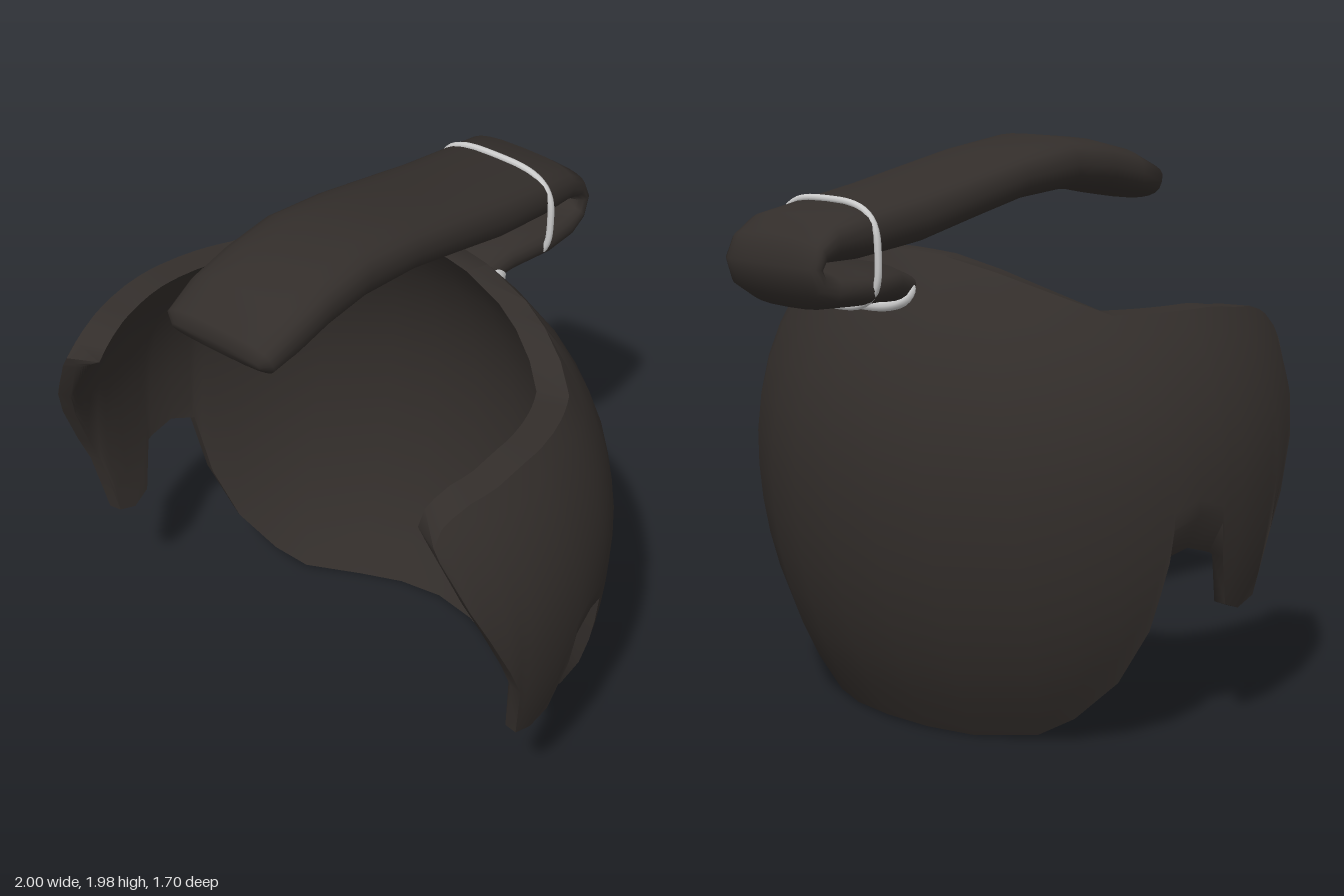
import * as THREE from 'three';
import { toCreasedNormals } from 'three/addons/utils/BufferGeometryUtils.js';

const hairMat = new THREE.MeshStandardMaterial({ color: 0x332e2b, side: THREE.DoubleSide });
const bandMat = new THREE.MeshStandardMaterial({ color: 0xcccccc });
const { lerp, degToRad } = THREE.MathUtils;

// Skin a list of closed rings of Vector3 and close both ends with fans.
function loft(rings, crease) {
  const n = rings[0].length, last = rings.length - 1;
  const points = rings.flat(), index = [];
  for (let i = 0; i < last; i++) {
    for (let j = 0; j < n; j++) {
      const a = i * n + j, d = i * n + (j + 1) % n;
      index.push(a, a + n, d + n, a, d + n, d);
    }
  }
  for (const i of [0, last]) {
    const centre = new THREE.Vector3();
    rings[i].forEach(p => centre.addScaledVector(p, 1 / n));
    const c = points.push(centre) - 1;
    for (let j = 0; j < n; j++) {
      const a = i * n + j, b = i * n + (j + 1) % n;
      index.push(c, ...(i === 0 ? [a, b] : [b, a]));
    }
  }
  const geo = new THREE.BufferGeometry().setFromPoints(points);
  geo.setIndex(index);
  return toCreasedNormals(geo, crease);
}

// Rounded-box ring through an outer and an inner point of the side profile.
function section([oz, oy, iz, iy, halfWidth = 0.23], sides = 24, power = 2.8) {
  const bend = v => Math.sign(v) * Math.abs(v) ** (2 / power);
  return Array.from({ length: sides }, (_, k) => {
    const a = (k / sides) * Math.PI * 2;
    const c = bend(Math.cos(a)), s = bend(Math.sin(a));
    return new THREE.Vector3(c * halfWidth,
      (oy + iy) / 2 + s * (oy - iy) / 2, (oz + iz) / 2 + s * (oz - iz) / 2);
  });
}

// Cap of hair: an ellipsoid shell cut between a lower and an upper rim.
function capGeometry() {
  // Per column: lower angle, lower y, upper angle, upper y, inner drop of the rim
  const half = [
    [0, 0.01, 0, 1.63], [14, 0.005, 9, 1.627], [28, 0, 18, 1.62], [46, 0.02, 34, 1.58],
    [55, 0.09, 43, 1.545], [64, 0.23, 53, 1.5], [69, 0.42, 62, 1.455], [70.3, 0.55, 66, 1.455],
    [71.5, 0.66, 69, 1.455], [72, 0.77, 72, 1.455, 0.11], [77.7, 0.81, 77, 1.455, 0.12],
    [83.9, 0.77, 83, 1.455, 0.11], [85, 0.65, 86, 1.455], [88.7, 0.47, 90, 1.455],
    [93.9, 0.44, 95, 1.45], [99, 0.47, 100, 1.44], [101, 0.7, 104, 1.435],
    [104.2, 0.82, 108, 1.43], [109.4, 1.0, 113, 1.41], [113, 1.12, 116, 1.39],
    [117.7, 1.3, 118.5, 1.345],
  ];
  const mirrored = half.slice(1).map(([b, by, t, ty, drop]) => [-b, by, -t, ty, drop]);
  const columns = [...half.slice().reverse(), ...mirrored];
  const rows = 12;
  const rings = columns.map(([b, by, t, ty, drop = 0]) => {
    const at = (f, inner) => {
      const y = lerp(inner ? by - drop : by, ty, f);
      const angle = degToRad(lerp(b, t, f));
      const r = Math.sqrt(1 - ((y - 0.9) / (y > 0.9 ? 0.985 : 1.3)) ** 2);
      const k = inner ? lerp(0.95, 0.87, f) : 1;
      return new THREE.Vector3(r * k * Math.sin(angle), y, 0.35 - 0.94 * r * k * Math.cos(angle));
    };
    const ring = [];
    for (let j = 0; j <= rows; j++) ring.push(at(j / rows, false));
    for (let j = rows; j >= 0; j--) ring.push(at(j / rows, true));
    return ring;
  });
  return loft(rings, 0.9);
}

// Thin band following a section ring.
function bandGeometry(profile, radius, power) {
  const curve = new THREE.CatmullRomCurve3(section(profile, 24, power), true);
  return new THREE.TubeGeometry(curve, 64, radius, 8, true);
}

export function createModel() {
  const model = new THREE.Group();
  const add = (name, geometry, material) => {
    const mesh = new THREE.Mesh(geometry, material);
    mesh.name = name;
    model.add(mesh);
  };

  add('hairCap', capGeometry(), hairMat);

  // Folded tail: outer z, y, inner z, y, half width, from the front tip to the root
  const tail = [
    [0.845, 1.81, 0.825, 1.76, 0.18], [0.835, 1.86, 0.79, 1.725, 0.215], [0.7, 1.92, 0.7, 1.74],
    [0.55, 1.955, 0.55, 1.77], [0.35, 1.975, 0.38, 1.785], [0.1, 1.94, 0.14, 1.765],
    [-0.1, 1.9, -0.08, 1.715], [-0.35, 1.85, -0.33, 1.655], [-0.58, 1.81, -0.58, 1.625],
    [-0.73, 1.78, -0.72, 1.625], [-0.81, 1.72, -0.76, 1.628], [-0.85, 1.63, -0.77, 1.62],
    [-0.82, 1.53, -0.76, 1.61], [-0.75, 1.48, -0.7, 1.605], [-0.6, 1.475, -0.58, 1.6],
    [-0.45, 1.475, -0.42, 1.6, 0.2], [-0.38, 1.455, -0.32, 1.56, 0.17],
  ];
  add('foldedTail', loft(tail.map(s => section(s)), 1.1), hairMat);

  // Ties around the fold and at the root
  add('tailBand', bandGeometry([-0.58, 1.815, -0.573, 1.47, 0.238], 0.012, 3.2), bandMat);
  add('rootBand', bandGeometry([-0.345, 1.545, -0.425, 1.455, 0.17], 0.02, 2.4), bandMat);
  return model;
}
